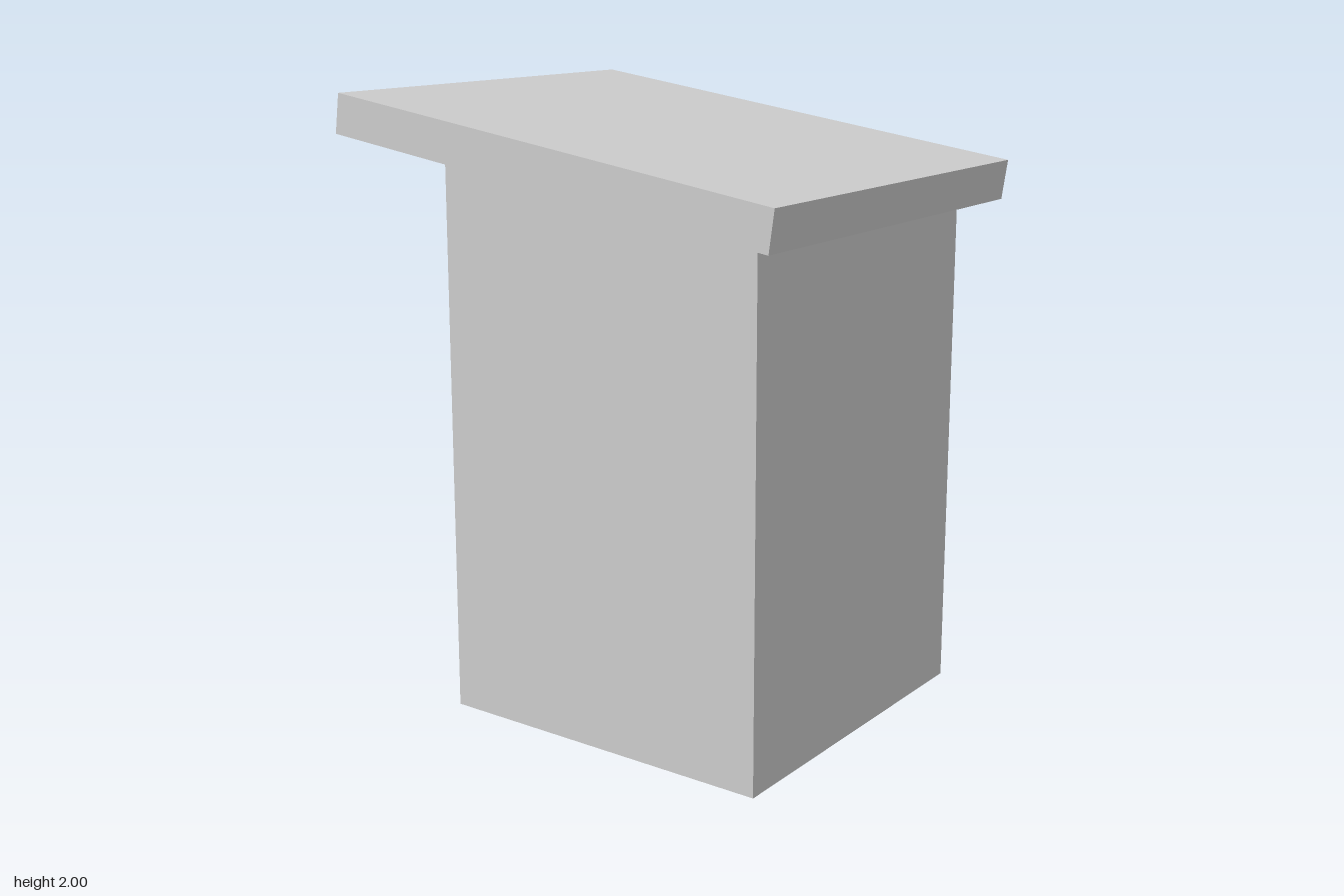
import * as THREE from 'three';

const material = new THREE.MeshStandardMaterial({ color: 0xcccccc, flatShading: true });

const outline = (points) => new THREE.Shape(points.map(([x, y]) => new THREE.Vector2(x, y)));

// Extrudes a side profile of [z, y] points across the width from x0 to x1.
function sideExtrusion(name, profile, x0, x1) {
  const geometry = new THREE.ExtrudeGeometry(
    outline(profile.map(([z, y]) => [-z, y])),
    { depth: x1 - x0, bevelEnabled: false }
  );
  geometry.rotateY(Math.PI / 2).translate(x0, 0, 0);
  const mesh = new THREE.Mesh(geometry, material);
  mesh.name = name;
  return mesh;
}

export function createModel() {
  const model = new THREE.Group();
  model.name = 'outhouse';

  const halfWidth = 0.585, doorHalf = 0.32, doorTop = 1.56;
  const frameHalf = 0.44, frameTop = 1.675;
  const frontBase = [0.703, 0], frontTop = [0.698, 1.661];
  const backBase = [-0.465, 0], backTop = [-0.458, 1.822];

  // Thick side walls, sloping up to the back under the roof
  const wall = [frontBase, frontTop, backTop, backBase];
  model.add(sideExtrusion('leftWall', wall, doorHalf, halfWidth));
  model.add(sideExtrusion('rightWall', wall, -halfWidth, -doorHalf));

  // Front wall and ceiling block, leaving the room open at the back and below
  model.add(sideExtrusion('frontWallAndCeiling', [
    frontBase, frontTop, backTop, [-0.459, doorTop], [0.43, doorTop], [0.43, 0],
  ], -doorHalf, doorHalf));

  // Raised frame around the doorway
  const frame = new THREE.Mesh(
    new THREE.ExtrudeGeometry(outline([
      [-frameHalf, 0], [-doorHalf, 0], [-doorHalf, doorTop], [doorHalf, doorTop],
      [doorHalf, 0], [frameHalf, 0], [frameHalf, frameTop], [-frameHalf, frameTop],
    ]), { depth: 0.06, bevelEnabled: false }),
    material
  );
  frame.name = 'doorFrame';
  frame.position.z = -0.519;
  model.add(frame);

  // Tilted overhanging roof slab
  model.add(sideExtrusion('roof', [
    [0.821, 1.773], [0.803, 1.645], [-0.821, 1.872], [-0.803, 2],
  ], -0.692, 0.692));

  return model;
}
